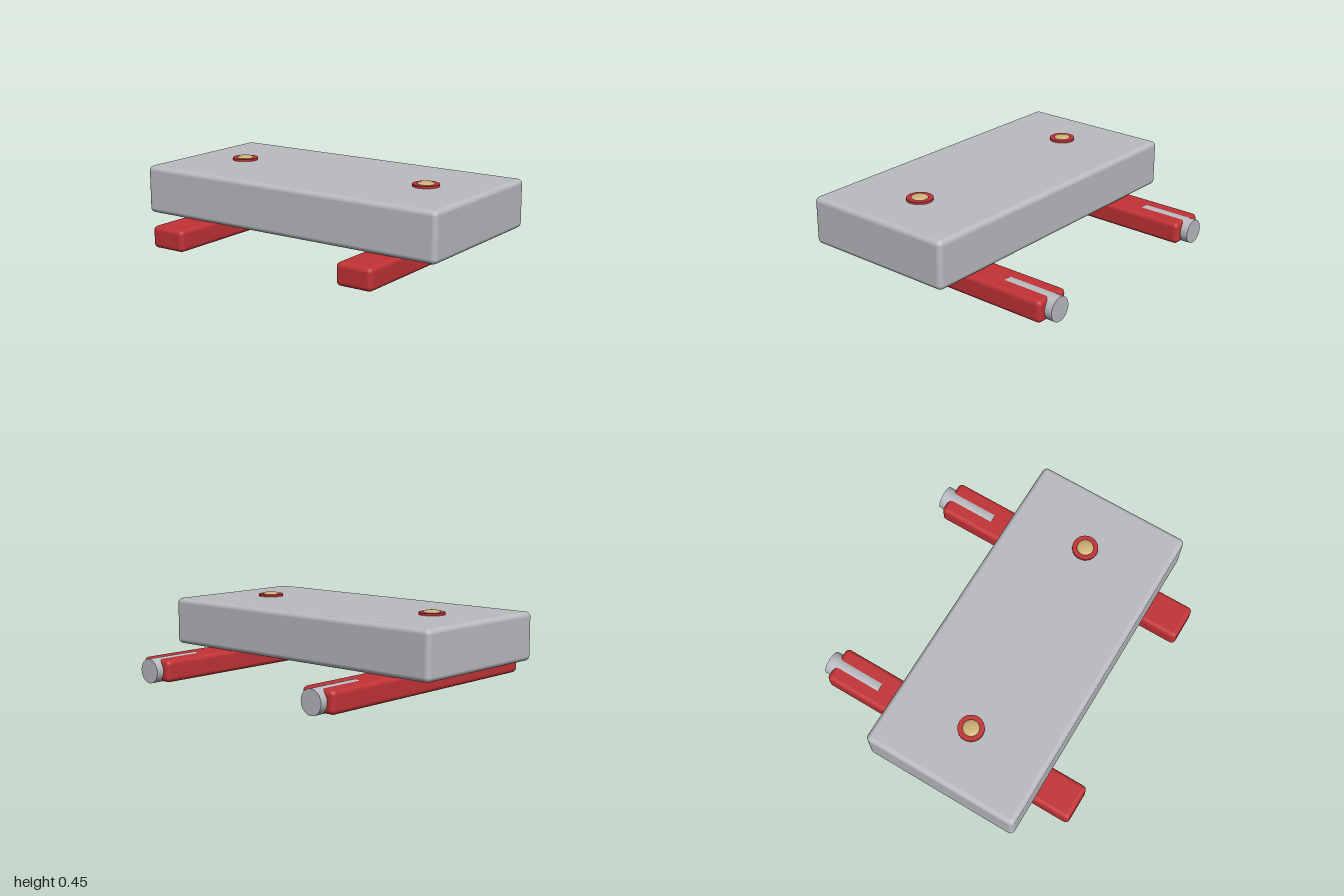
import * as THREE from 'three';
import { RoundedBoxGeometry } from 'three/addons/geometries/RoundedBoxGeometry.js';

export function createModel() {
  const model = new THREE.Group();
  model.name = 'slabOnRails';

  const material = (name, color) => {
    const m = new THREE.MeshStandardMaterial({ color });
    m.name = name;
    return m;
  };
  const grey = material('grey', 0xb9bbc0);
  const red = material('red', 0xc23235);
  const gold = material('gold', 0xcdb175);

  const add = (parent, name, geometry, mat, x, y, z) => {
    const mesh = new THREE.Mesh(geometry, mat);
    mesh.name = name;
    mesh.position.set(x, y, z);
    parent.add(mesh);
    return mesh;
  };

  // Main slab with softly rounded edges
  add(model, 'slab', new RoundedBoxGeometry(2, 0.286, 0.966, 4, 0.03), grey, 0, 0.281, 0.143);

  const railGeometry = new RoundedBoxGeometry(0.225, 0.13, 1.662, 4, 0.027);
  const pinGeometry = new THREE.CylinderGeometry(0.0715, 0.0715, 0.355, 40).rotateX(Math.PI / 2);
  const washerGeometry = new THREE.CylinderGeometry(0.077, 0.077, 0.022, 40);

  // Shallow domed button profile
  const domeProfile = [];
  for (let i = 0; i <= 8; i++) {
    const a = (i / 8) * Math.PI / 2;
    domeProfile.push(new THREE.Vector2(0.049 * Math.cos(a), 0.014 * Math.sin(a)));
  }
  domeProfile[8].x = 0;
  const domeGeometry = new THREE.LatheGeometry(domeProfile, 40);

  // Each side: rail, rear pin, washer and button
  for (const [side, s] of [['left', 1], ['right', -1]]) {
    const x = s * 0.645;
    const group = new THREE.Group();
    group.name = side + 'Assembly';
    add(group, 'rail', railGeometry, red, x, 0.073, 0.022);
    add(group, 'rearPin', pinGeometry, grey, x, 0.0715, -0.6775);
    add(group, 'washer', washerGeometry, red, x, 0.426, 0.143);
    add(group, 'button', domeGeometry, gold, x, 0.437, 0.143);
    model.add(group);
  }

  return model;
}
